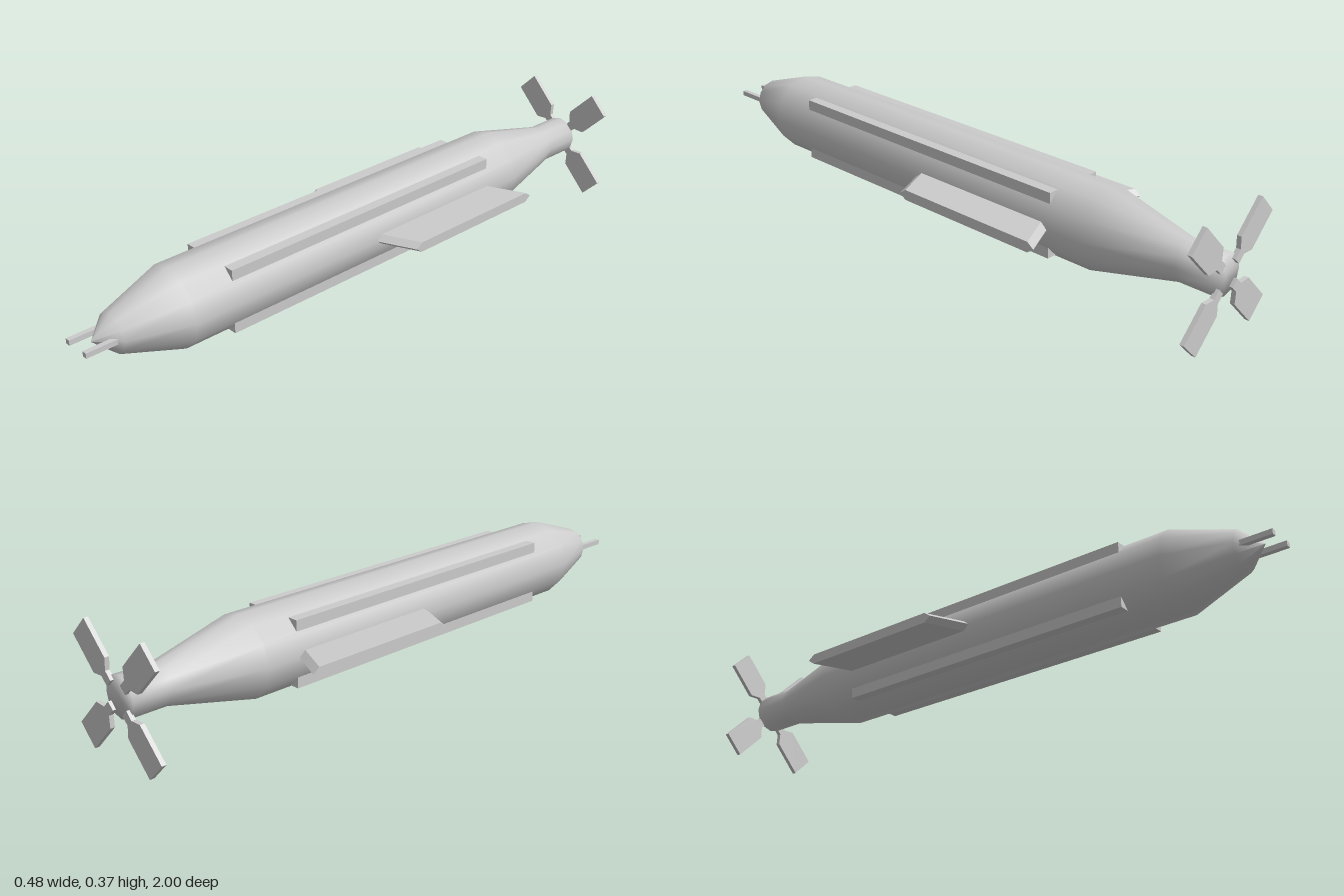
import * as THREE from 'three';

const AXIS_Y = 0.186;

export function createModel() {
  const group = new THREE.Group();
  const smooth = new THREE.MeshStandardMaterial({ color: 0xcccccc });
  const flat = new THREE.MeshStandardMaterial({ color: 0xcccccc, flatShading: true });

  const add = (name, geometry, material = flat) => {
    const mesh = new THREE.Mesh(geometry, material);
    mesh.name = name;
    mesh.position.y = AXIS_Y;
    group.add(mesh);
    return mesh;
  };

  // Twelve-sided hull, profile given as [radius, z] from tail to nose
  const profile = [
    [0, -0.99], [0.062, -0.99], [0.062, -0.87], [0.125, -0.6],
    [0.125, 0.7], [0.062, 0.89], [0, 0.955],
  ].map(([r, z]) => new THREE.Vector2(r, z));
  add('hull', new THREE.LatheGeometry(profile, 12).rotateX(Math.PI / 2), smooth);

  // Square core whose four corners stand out of the hull as long rails
  add('rails', new THREE.BoxGeometry(0.204, 0.204, 1.04).translate(0, 0, 0.04));

  // Swept side fins with bevelled leading and trailing edges
  const fin = new THREE.Shape([
    [-0.041, 0], [-0.019, -0.016], [0.457, -0.016],
    [0.479, 0], [0.457, 0.016], [-0.019, 0.016],
  ].map(([x, y]) => new THREE.Vector2(x, y)));
  for (const side of [1, -1]) {
    const geometry = new THREE.ExtrudeGeometry(fin, { depth: 0.14, bevelEnabled: false });
    geometry.rotateY(Math.PI / 2).translate(side > 0 ? 0.1 : -0.24, 0, 0);
    const p = geometry.attributes.position;
    for (let i = 0; i < p.count; i++) {
      p.setZ(i, p.getZ(i) - 0.45 * (Math.abs(p.getX(i)) - 0.1));
    }
    geometry.computeVertexNormals();
    add(side > 0 ? 'leftFin' : 'rightFin', geometry);
  }

  // Four flat propeller blades, each on a narrow neck
  const blade = new THREE.Shape([
    [-0.014, 0.045], [0.014, 0.045], [0.014, 0.075], [0.0415, 0.1],
    [0.0415, 0.2215], [-0.0415, 0.2215], [-0.0415, 0.1], [-0.014, 0.075],
  ].map(([x, y]) => new THREE.Vector2(x, y)));
  for (let i = 0; i < 4; i++) {
    const geometry = new THREE.ExtrudeGeometry(blade, { depth: 0.014, bevelEnabled: false });
    geometry.translate(0, 0, -1).rotateZ(Math.PI / 4 + (i * Math.PI) / 2);
    add('propellerBlade', geometry);
  }

  // Twin nose probes
  for (const side of [1, -1]) {
    add(side > 0 ? 'leftProbe' : 'rightProbe',
      new THREE.BoxGeometry(0.016, 0.016, 0.14).translate(side * 0.041, 0, 0.93));
  }

  return group;
}
